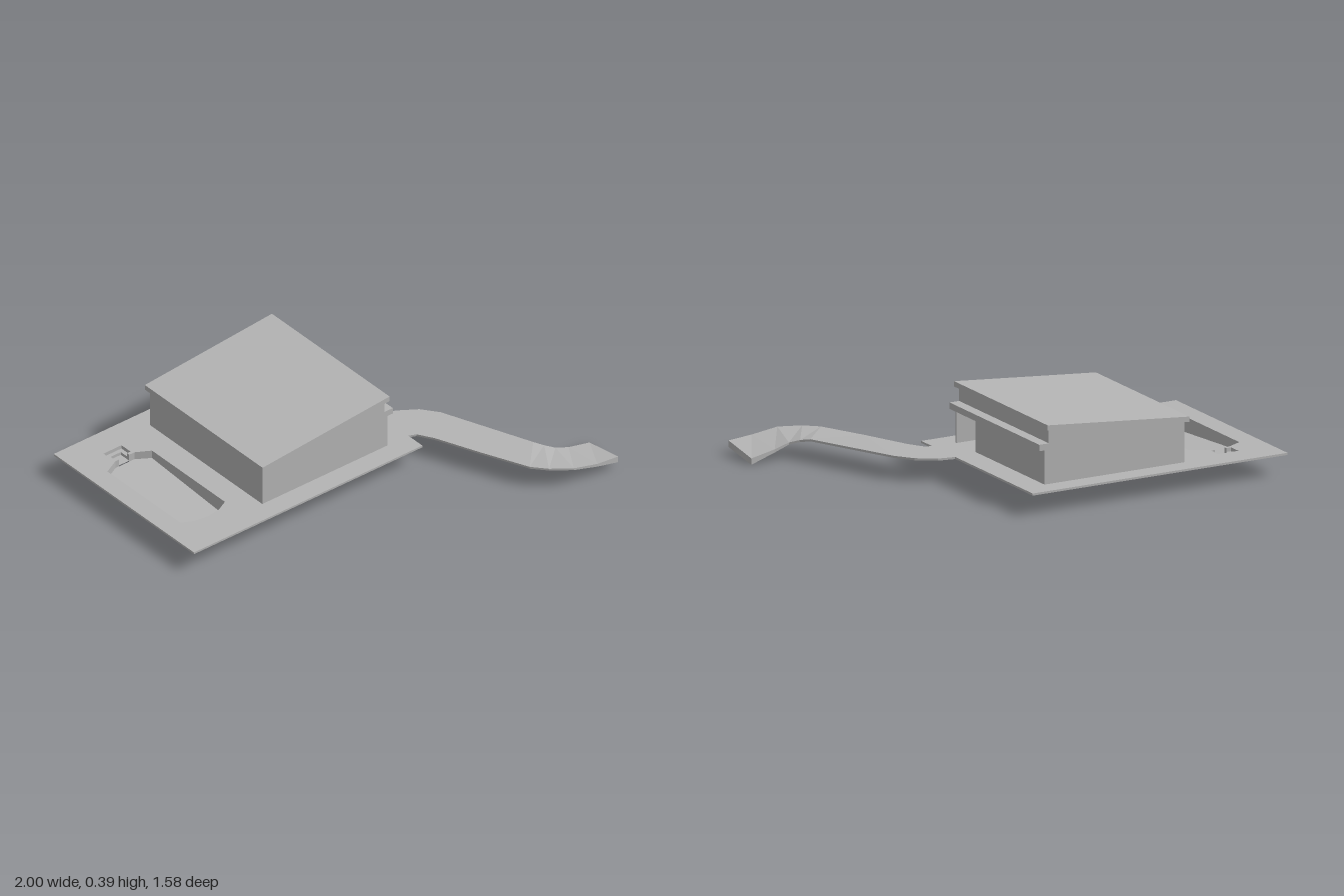
import * as THREE from 'three';

const gray = new THREE.MeshStandardMaterial({ color: 0xb4b4b4, side: THREE.DoubleSide, flatShading: true });
gray.name = 'plain gray';

const TOP = 0.108; // ground surface height

export function createModel() {
  const root = new THREE.Group();
  root.name = 'houseOnPlot';

  const add = (name, geometry, parent = root) => {
    const mesh = new THREE.Mesh(geometry, gray);
    mesh.name = name;
    parent.add(mesh);
    return mesh;
  };
  const vecs = (pts) => pts.map(([a, b]) => new THREE.Vector2(a, b));
  // Box from its min and max limits
  const box = (name, x0, x1, y0, y1, z0, z1, parent) =>
    add(name, new THREE.BoxGeometry(x1 - x0, y1 - y0, z1 - z0)
      .translate((x0 + x1) / 2, (y0 + y1) / 2, (z0 + z1) / 2), parent);
  // Profile in x and y, extruded from z0 to z1
  const prism = (name, pts, z0, z1, parent) =>
    add(name, new THREE.ExtrudeGeometry(new THREE.Shape(vecs(pts)),
      { depth: z1 - z0, bevelEnabled: false }).translate(0, 0, z0), parent);
  const fromTriangles = (pos, index) => {
    const g = new THREE.BufferGeometry();
    g.setAttribute('position', new THREE.Float32BufferAttribute(pos, 3));
    g.setIndex(index);
    const flat = g.toNonIndexed();
    flat.computeVertexNormals();
    return flat;
  };
  // Side walls along an open plan path, down to a floor height rule
  const walls = (name, path, top, floorY, parent) => {
    const pos = [], index = [];
    path.forEach(([x, z], i) => {
      pos.push(x, top, z, x, floorY(z), z);
      if (i) {
        const a = 2 * i - 2;
        index.push(a, a + 1, a + 2, a + 2, a + 1, a + 3);
      }
    });
    add(name, fromTriangles(pos, index), parent);
  };
  // Flat or sloping floor over a plan outline, facing up
  const floor = (name, outline, floorY, parent) => {
    const pos = outline.flatMap(([x, z]) => [x, floorY(z), z]);
    const flip = THREE.ShapeUtils.isClockWise(vecs(outline));
    const index = THREE.ShapeUtils.triangulateShape(vecs(outline), [])
      .flatMap(([a, b, c]) => (flip ? [a, b, c] : [a, c, b]));
    add(name, fromTriangles(pos, index), parent);
  };

  // Plan outlines in x and z
  const poolPath = [[-0.74, -0.57], [-0.71, -0.57], [-0.64, -0.53], [-0.64, -0.01], [-0.7, 0.02],
    [-0.77, 0.03], [-0.84, 0.02], [-0.9, -0.01], [-0.9, -0.53], [-0.82, -0.57], [-0.8, -0.57]];
  const stepPath = [[-0.8, -0.57], [-0.8, -0.585], [-0.825, -0.585], [-0.825, -0.65],
    [-0.72, -0.65], [-0.72, -0.585], [-0.74, -0.585], [-0.74, -0.57]];
  const lowerStep = [[-0.8, -0.57], [-0.8, -0.63], [-0.74, -0.63], [-0.74, -0.57]];
  const houseHole = [[-0.51, -0.68], [0.19, -0.68], [0.19, -0.09], [0.09, -0.09], [0.09, 0.1], [-0.51, 0.1]];

  // Ground slab, open under the house and the pool
  const plot = new THREE.Shape(vecs([[-1, -0.79], [0.33, -0.79], [0.33, 0.21], [-1, 0.21]]));
  plot.holes.push(new THREE.Path(vecs(houseHole)));
  plot.holes.push(new THREE.Path(vecs([...poolPath, ...stepPath.slice(1, -1)])));
  add('groundSlab', new THREE.ExtrudeGeometry(plot, { depth: 0.01, bevelEnabled: false })
    .rotateX(Math.PI / 2).translate(0, TOP, 0));

  // Pool with a sloping floor and two entry steps
  const pool = new THREE.Group();
  pool.name = 'pool';
  root.add(pool);
  const slope = (z) => 0.03 + 0.04 * (0.03 - z) / 0.6;
  walls('poolWalls', poolPath, TOP, slope, pool);
  floor('poolFloor', poolPath, slope, pool);
  walls('upperStepWalls', stepPath, TOP, () => 0.09, pool);
  floor('upperStep', [...stepPath.slice(1, -1), [-0.74, -0.63], [-0.8, -0.63]], () => 0.09, pool);
  walls('lowerStepWalls', lowerStep, 0.09, () => 0.075, pool);
  floor('lowerStep', lowerStep, () => 0.075, pool);

  // Hollow house walls
  const house = new THREE.Group();
  house.name = 'house';
  root.add(house);
  const gable = [[-0.52, 0.1], [0.21, 0.1], [0.21, 0.27], [0.19, 0.27], [0.19, 0.364], [-0.52, 0.302]];
  prism('frontWall', gable, 0.1, 0.11, house);
  prism('backWall', gable, -0.69, -0.68, house);
  box('rightWall', -0.52, -0.51, 0.1, 0.302, -0.68, 0.1, house);
  box('leftUpperWall', 0.18, 0.19, 0.27, 0.363, -0.68, 0.1, house);
  box('leftLowerWall', 0.19, 0.21, 0.1, 0.27, -0.68, -0.09, house);

  // Recessed porch at the front corner
  box('porchSideWall', 0.09, 0.21, 0.1, 0.27, -0.09, -0.07, house);
  box('porchBackWall', 0.09, 0.1, 0.1, 0.27, -0.07, 0.1, house);
  box('porchCeiling', 0.1, 0.21, 0.255, 0.27, -0.07, 0.1, house);

  // Canopy ledge and sloping roof
  box('canopy', 0.19, 0.24, 0.27, 0.3, -0.695, 0.11, house);
  prism('roof', [[-0.535, 0.3], [0.205, 0.365], [0.205, 0.39], [-0.535, 0.325]], -0.71, 0.13, house);

  // Driveway stations: inner edge x, y, z then outer edge x, y, z, then thickness
  const stations = [
    [0.33, TOP, -0.095, 0.33, TOP, 0.11, 0.01],
    [0.41, TOP, -0.08, 0.365, TOP, 0.125, 0.01],
    [0.5, TOP, -0.02, 0.41, TOP, 0.2, 0.01],
    [0.56, TOP, 0.06, 0.5, TOP, 0.42, 0.01],
    [0.74, 0.103, 0.5, 0.6, 0.107, 0.645, 0.01],
    [0.77, 0.094, 0.54, 0.66, 0.105, 0.71, 0.01],
    [0.81, 0.08, 0.572, 0.755, 0.098, 0.77, 0.01],
    [0.88, 0.056, 0.579, 0.88, 0.075, 0.785, 0.015],
    [1, 0.03, 0.582, 1, 0.064, 0.787, 0.031],
  ];
  const pos = [], index = [];
  stations.forEach(([ax, ay, az, bx, by, bz, t], i) => {
    pos.push(ax, ay, az, bx, by, bz, bx, by - t, bz, ax, Math.max(0, ay - t), az);
    if (!i) return;
    const p = 4 * i - 4, q = 4 * i;
    for (let k = 0; k < 4; k++) {
      const n = (k + 1) % 4;
      index.push(p + k, p + n, q + k, q + k, p + n, q + n);
    }
  });
  const e = 4 * (stations.length - 1);
  index.push(e, e + 1, e + 2, e, e + 2, e + 3);
  add('driveway', fromTriangles(pos, index));

  return root;
}
